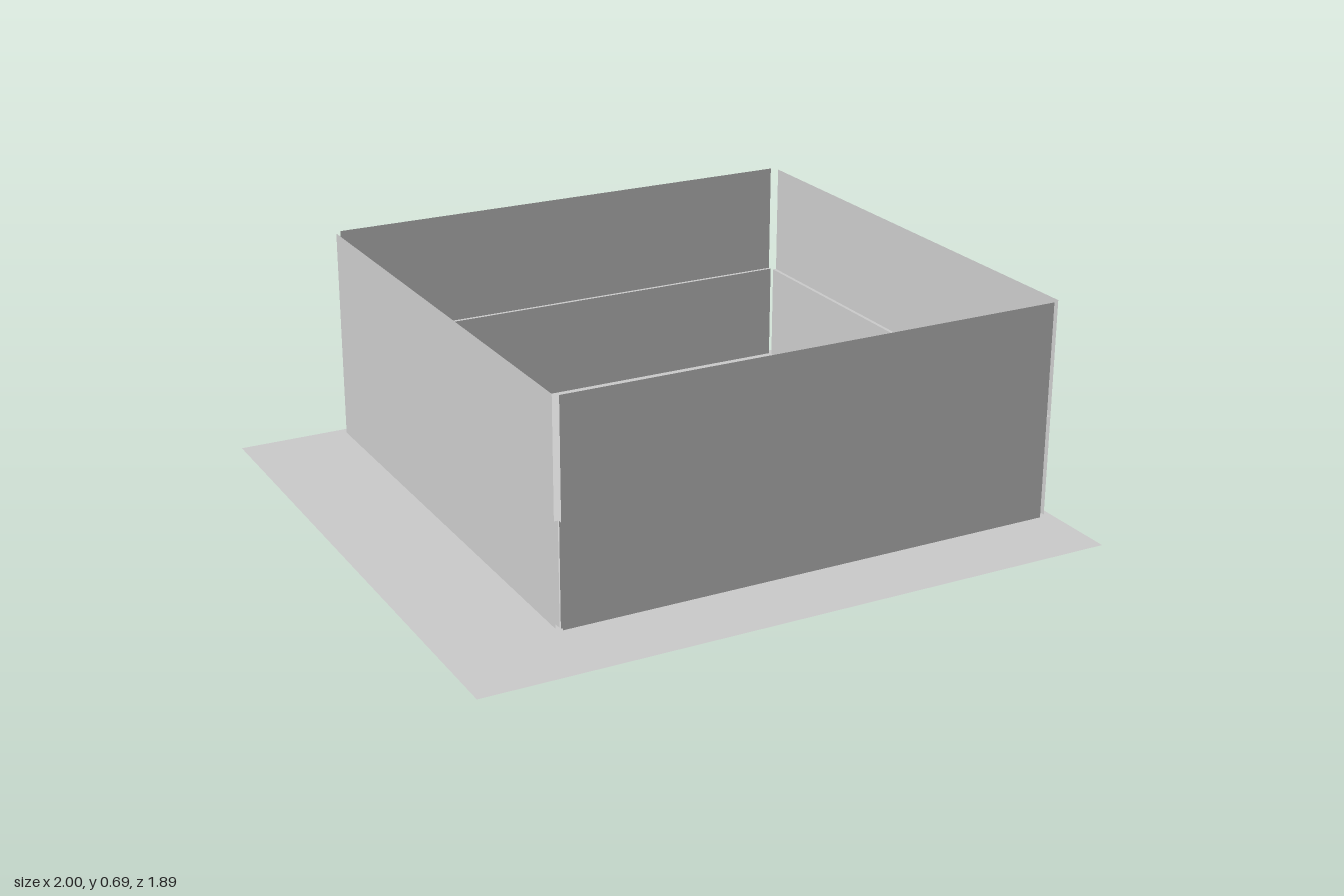
import * as THREE from 'three';

const material = new THREE.MeshStandardMaterial({ color: 0xcccccc, side: THREE.DoubleSide });
const HEIGHT = 0.685, LEDGE = 0.32, FOLD = 0.012, LENGTH = 1.597;

// Thin sheet, upright unless laid flat
function sheet(name, w, h, x, y, z, flat = false) {
  const geometry = new THREE.PlaneGeometry(w, h);
  if (flat) geometry.rotateX(-Math.PI / 2);
  const mesh = new THREE.Mesh(geometry, material);
  mesh.name = name;
  mesh.position.set(x, y, z);
  return mesh;
}

// Wall facing local +z, with a half-height lining joined to it by a narrow ledge
function wall(name, x, z, turn) {
  const group = new THREE.Group();
  group.name = name;
  group.add(
    sheet('outerPanel', LENGTH, HEIGHT, 0, HEIGHT / 2, 0),
    sheet('innerLining', LENGTH, LEDGE, 0, LEDGE / 2, -FOLD),
    sheet('ledge', LENGTH, FOLD, 0, LEDGE, -FOLD / 2, true)
  );
  group.position.set(x, 0, z);
  group.rotation.y = turn;
  return group;
}

export function createModel() {
  const model = new THREE.Group();
  model.name = 'openBoxOnBase';

  // Base sheet
  model.add(sheet('base', 2, 1.89, 0, 0, 0, true));

  // Four walls, separated by small gaps at the corners
  model.add(
    wall('frontWall', 0.16, 0.70, 0),
    wall('leftWall', 0.981, -0.11, Math.PI / 2),
    wall('backWall', 0.167, -0.932, Math.PI),
    wall('rightWall', -0.652, -0.115, -Math.PI / 2)
  );
  return model;
}
